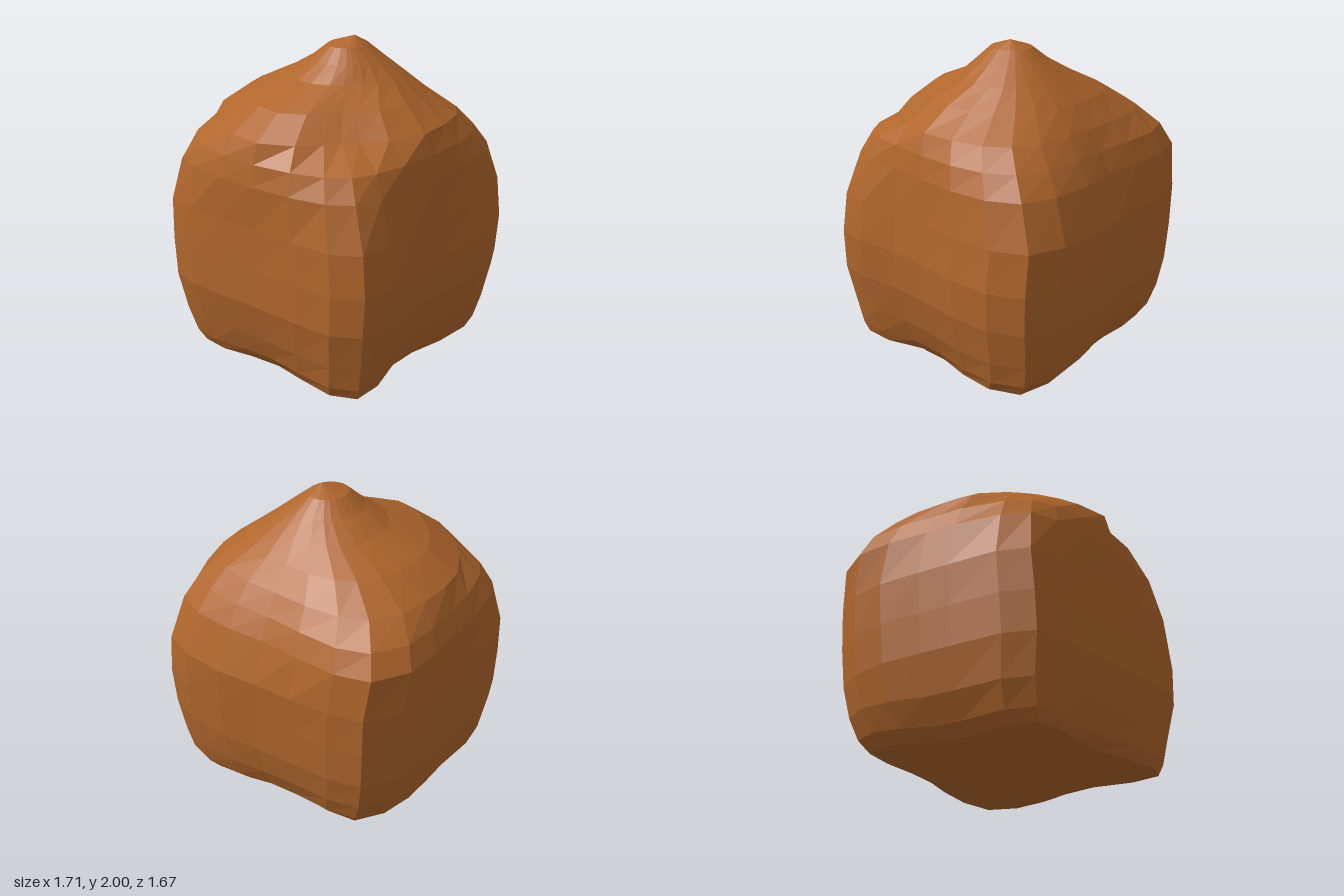
import * as THREE from 'three';

const { lerp, clamp, smoothstep } = THREE.MathUtils;

// Plan outline of the boulder: a lopsided square with clipped corners (x, z)
const OUTLINE = [
  [-0.71, -0.71], [-0.5, -0.77], [-0.24, -0.79], [0.02, -0.81], [0.27, -0.84], [0.55, -0.83],
  [0.77, -0.75], [0.855, -0.54], [0.85, -0.27], [0.8, 0], [0.765, 0.28], [0.78, 0.55],
  [0.73, 0.75], [0.55, 0.83], [0.28, 0.82], [0, 0.79], [-0.26, 0.775], [-0.52, 0.76],
  [-0.71, 0.7], [-0.79, 0.52], [-0.82, 0.2], [-0.84, 0], [-0.86, -0.27], [-0.83, -0.5],
];

// Levels: y, min x, max x, min z, max z, roundness (1 = round, 0 = squarish, below 0 = pointed corners)
const LEVELS = [
  [0, -0.24, -0.24, 0, 0, 1],
  [0.035, -0.46, 0.3, -0.36, 0.48, 0],
  [0.08, -0.62, 0.67, -0.63, 0.68, -0.5],
  [0.15, -0.69, 0.72, -0.71, 0.73, -0.3],
  [0.3, -0.77, 0.78, -0.77, 0.78, -0.1],
  [0.54, -0.825, 0.84, -0.815, 0.84, 0],
  [0.78, -0.845, 0.855, -0.83, 0.84, 0],
  [1.03, -0.86, 0.835, -0.84, 0.83, 0.05],
  [1.29, -0.83, 0.79, -0.75, 0.82, 0.4],
  [1.42, -0.77, 0.75, -0.68, 0.79, 0.65],
  [1.54, -0.7, 0.69, -0.6, 0.75, 0.85],
  [1.67, -0.52, 0.53, -0.49, 0.56, 1],
  [1.78, -0.3, 0.39, -0.37, 0.29, 1],
  [1.87, -0.15, 0.28, -0.27, 0.17, 1],
  [1.95, -0.05, 0.18, -0.18, 0.08, 1],
  [2, 0.1, 0.1, -0.07, -0.07, 1],
];

// Swell (+) or cut (-) of each upper corner, on the wall and on the roof
const CORNERS = { backRight: [0.2, 0.16], backLeft: [0.11, 0.12], frontRight: [0, -0.09], frontLeft: [0, -0.24] };

function shoulder(u, v, y) {
  const [wall, roof] = CORNERS[(v < 0 ? 'back' : 'front') + (u < 0 ? 'Right' : 'Left')];
  const corner = (2 * u * v) / (u * u + v * v);
  const height = Math.sin(Math.PI * clamp((y - 1.1) / 0.8, 0, 1));
  return 1 + lerp(wall, roof, smoothstep(y, 1.42, 1.54)) * corner * corner * height;
}

// The underside rises toward the back, most of all at the back right corner
const lift = (x, y, z) => Math.max(0, -z) * (0.08 - 0.06 * x) * (1 - smoothstep(y, 0.15, 0.54));

// One level: the outline scaled to its extents and blended toward an ellipse
function ring([y, x0, x1, z0, z1, round]) {
  return OUTLINE.map(([px, pz]) => {
    const u = px / 0.857, v = pz / 0.837;
    const k = lerp(1, 1 / Math.hypot(u, v), round) * shoulder(u, v, y);
    const x = (x0 + x1) / 2 + (u * k * (x1 - x0)) / 2;
    const z = (z0 + z1) / 2 + (v * k * (z1 - z0)) / 2;
    return [x, y + lift(x, y, z), z];
  });
}

function boulderGeometry() {
  const n = OUTLINE.length;
  const positions = LEVELS.flatMap(ring).flat();
  const index = [];
  for (let r = 0; r < LEVELS.length - 1; r++) {
    for (let i = 0; i < n; i++) {
      const a = r * n + i, b = r * n + ((i + 1) % n);
      // first and last levels are points, so they need one triangle only
      if (r > 0) index.push(a, a + n, b);
      if (r < LEVELS.length - 2) index.push(b, a + n, b + n);
    }
  }
  const geometry = new THREE.BufferGeometry();
  geometry.setAttribute('position', new THREE.Float32BufferAttribute(positions, 3));
  geometry.setIndex(index);
  geometry.computeVertexNormals();
  return geometry;
}

export function createModel() {
  const group = new THREE.Group();
  group.name = 'rock';
  const material = new THREE.MeshStandardMaterial({ color: 0xb0662c, flatShading: true });
  const boulder = new THREE.Mesh(boulderGeometry(), material);
  boulder.name = 'boulder';
  group.add(boulder);
  return group;
}
